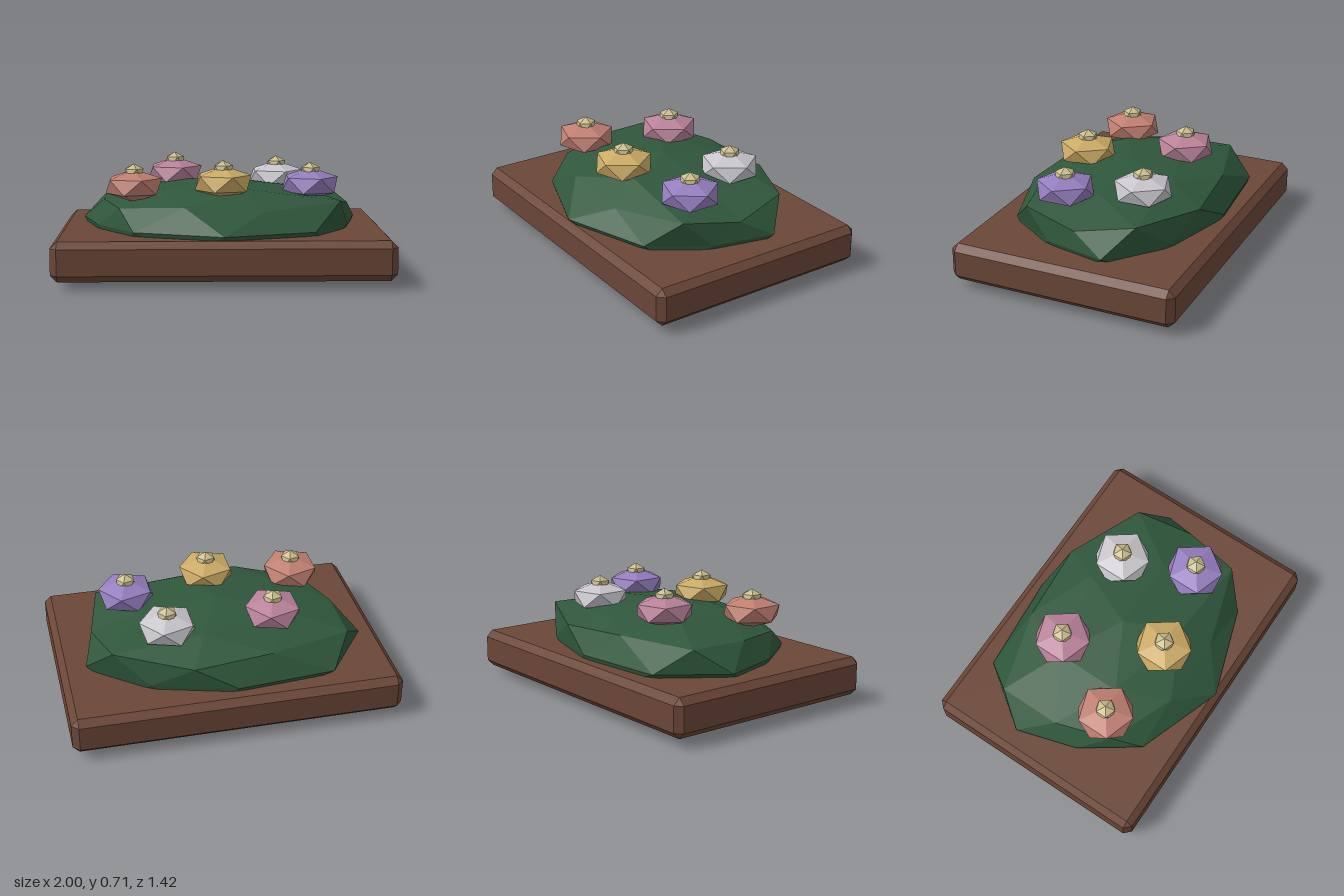
import * as THREE from 'three';
import { ConvexGeometry } from 'three/addons/geometries/ConvexGeometry.js';

const mat = (name, color) => {
  const m = new THREE.MeshStandardMaterial({ color });
  m.name = name;
  return m;
};

// Chamfered slab: three points near each corner
function slabGeometry(x, y, z, c) {
  const pts = [];
  for (const i of [-1, 1]) for (const j of [-1, 1]) for (const k of [-1, 1]) {
    pts.push(
      new THREE.Vector3(i * x, j * (y - c), k * (z - c)),
      new THREE.Vector3(i * (x - c), j * y, k * (z - c)),
      new THREE.Vector3(i * (x - c), j * (y - c), k * z));
  }
  return new ConvexGeometry(pts);
}

// Faceted mound: an uneven, flattened sphere of triangles made from rings
function moundGeometry() {
  const equator = [[0, 0.69], [0.54, 0.51], [0.76, 0.18], [0.845, -0.2], [0.5, -0.48],
    [0, -0.62], [-0.6, -0.57], [-0.87, -0.2], [-0.76, 0.17], [-0.53, 0.5]].map(([x, z]) => [x, 0.31, z]);
  const upper = {
    pole: [0, 0.577, 0],
    cap: [[0.15, 0.54, 0.32], [0.46, 0.525, 0], [0.15, 0.53, -0.34], [-0.38, 0.54, -0.2], [-0.38, 0.53, 0.2]],
    ring: [[0.22, 0.42, 0.5], [0.78, 0.42, 0], [0.25, 0.44, -0.56], [-0.73, 0.45, -0.38], [-0.62, 0.43, 0.33]],
    mid: [[0.7, 0.475, 0.35], [0.7, 0.475, -0.35], [-0.23, 0.46, -0.52], [-0.73, 0.445, 0], [-0.23, 0.455, 0.5]],
  };
  // Underside, regular, mostly hidden in the base
  const circle = (start, r, y) => [0, 1, 2, 3, 4].map((k) => {
    const a = THREE.MathUtils.degToRad(start + 72 * k);
    return [0.87 * r * Math.sin(a), y, 0.66 * r * Math.cos(a)];
  });
  const lower = {
    pole: [0, 0.003, 0], cap: circle(54, 0.526, 0.058),
    ring: circle(54, 0.894, 0.18), mid: circle(90, 0.851, 0.16),
  };
  const pos = [];
  const addHalf = ({ pole, cap, ring, mid }, shift, flip) => {
    const tri = (a, b, c) => pos.push(...a, ...(flip ? c : b), ...(flip ? b : c));
    const eq = (i) => equator[(i + shift) % 10];
    for (let k = 0; k < 5; k++) {
      const n = (k + 1) % 5, e = 2 * k;
      tri(pole, cap[k], cap[n]);
      tri(cap[k], ring[k], mid[k]);
      tri(cap[k], mid[k], cap[n]);
      tri(cap[n], mid[k], ring[n]);
      tri(ring[k], eq(e), eq(e + 1));
      tri(ring[k], eq(e + 1), mid[k]);
      tri(mid[k], eq(e + 1), eq(e + 2));
      tri(mid[k], eq(e + 2), ring[n]);
    }
  };
  addHalf(upper, 0, false);
  addHalf(lower, 1, true);
  const g = new THREE.BufferGeometry();
  g.setAttribute('position', new THREE.Float32BufferAttribute(pos, 3));
  g.computeVertexNormals();
  return g;
}

// Squashed icosahedron standing on one of its points
function gemGeometry(r, h) {
  const g = new THREE.IcosahedronGeometry(1, 0);
  g.rotateZ(-Math.atan(2 / (1 + Math.sqrt(5))));
  g.scale(r, h, r);
  g.computeVertexNormals();
  return g;
}

export function createModel() {
  const model = new THREE.Group();
  model.name = 'flowerBed';
  const add = (parent, name, geometry, material, y = 0) => {
    const mesh = new THREE.Mesh(geometry, material);
    mesh.name = name;
    mesh.position.y = y;
    parent.add(mesh);
  };

  add(model, 'woodenBase', slabGeometry(1, 0.1175, 0.71, 0.04), mat('brown wood', 0x6b4637), 0.1675);
  add(model, 'leafMound', moundGeometry(), mat('dark green', 0x2f573c));

  // Blossoms: name, colour, position
  const blossom = gemGeometry(0.19, 0.1);
  const centre = gemGeometry(0.066, 0.055);
  const pollen = mat('pale straw', 0xcabe8e);
  const flowers = [
    ['pink', 0xb9829a, -0.295, 0.583, -0.24],
    ['white', 0xc8c6cc, 0.35, 0.557, -0.24],
    ['salmon', 0xc07f72, -0.535, 0.555, 0.235],
    ['yellow', 0xcbaa66, 0, 0.58, 0.295],
    ['purple', 0x957dbe, 0.53, 0.557, 0.18],
  ];
  for (const [name, color, x, y, z] of flowers) {
    const flower = new THREE.Group();
    flower.name = name + 'Flower';
    flower.position.set(x, y, z);
    add(flower, name + 'Petals', blossom, mat(name, color));
    add(flower, name + 'FlowerCentre', centre, pollen, 0.078);
    model.add(flower);
  }
  return model;
}
